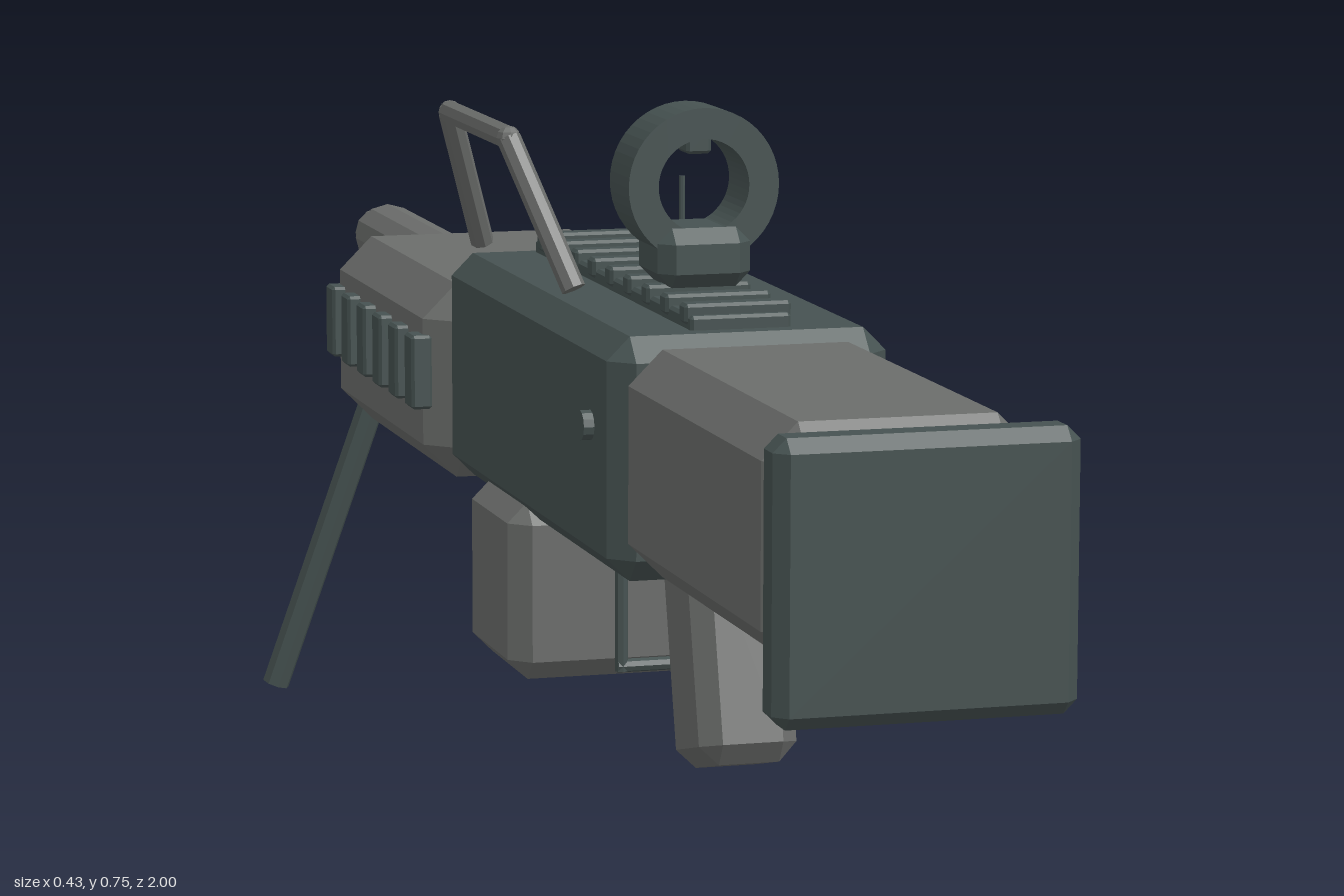
import * as THREE from 'three';
import { ConvexGeometry } from 'three/addons/geometries/ConvexGeometry.js';

const V = (x, y, z) => new THREE.Vector3(x, y, z);

// Box given by its limits, with every edge and corner cut at c
function bevelBox(x0, x1, y0, y1, z0, z1, c) {
  const pts = [];
  const h = [(x1 - x0) / 2, (y1 - y0) / 2, (z1 - z0) / 2];
  for (const sx of [-1, 1]) for (const sy of [-1, 1]) for (const sz of [-1, 1]) {
    for (let full = 0; full < 3; full++) {
      const s = [sx, sy, sz].map((v, i) => v * (h[i] - (i === full ? 0 : c)));
      pts.push(V(...s));
    }
  }
  return new ConvexGeometry(pts).translate((x0 + x1) / 2, (y0 + y1) / 2, (z0 + z1) / 2);
}

function faceted(geo) {
  const g = geo.index ? geo.toNonIndexed() : geo;
  g.computeVertexNormals();
  return g;
}

// Straight faceted rod between two points
function rod(a, b, r, sides = 8) {
  const d = b.clone().sub(a);
  const g = faceted(new THREE.CylinderGeometry(r, r, d.length(), sides));
  g.applyQuaternion(new THREE.Quaternion().setFromUnitVectors(V(0, 1, 0), d.normalize()));
  const m = a.clone().add(b).multiplyScalar(0.5);
  return g.translate(m.x, m.y, m.z);
}

export function createModel() {
  const root = new THREE.Group();
  const grey = new THREE.MeshStandardMaterial({ color: 0x6b6d6b });
  grey.name = 'mid grey';
  const dark = new THREE.MeshStandardMaterial({ color: 0x465251 });
  dark.name = 'dark green grey';

  const add = (name, geo, mat, parent = root) => {
    const m = new THREE.Mesh(geo, mat);
    m.name = name;
    parent.add(m);
    return m;
  };
  const group = (name) => {
    const g = new THREE.Group();
    g.name = name;
    root.add(g);
    return g;
  };

  // Main body
  add('buttPlate', bevelBox(-0.134, 0.134, 0.302, 0.547, 0.952, 1, 0.012), dark);
  add('stock', bevelBox(-0.12, 0.12, 0.338, 0.547, 0.47, 0.943, 0.032), grey);
  add('receiver', bevelBox(-0.133, 0.133, 0.33, 0.556, -0.13, 0.497, 0.022), dark);
  add('handguard', bevelBox(-0.146, 0.146, 0.315, 0.515, -0.595, -0.145, 0.035), grey);
  add('magazine', bevelBox(-0.14, 0.14, 0.17, 0.345, -0.02, 0.16, 0.02), grey);

  // Handguard side ribs
  const ribs = group('handguardRibs');
  for (const s of [-1, 1]) for (let i = 0; i < 6; i++) {
    const z = -0.187 - i * 0.073;
    const x = s * 0.149;
    add('rib', bevelBox(x - 0.011, x + 0.011, 0.388, 0.464, z - 0.017, z + 0.017, 0.003), dark, ribs);
  }

  // Receiver pins
  for (const s of [-1, 1]) {
    add('receiverPin', rod(V(s * 0.12, 0.467, 0.42), V(s * 0.143, 0.467, 0.42), 0.014, 12), dark);
  }

  // Barrel with a hollow muzzle
  const profile = [[0.038, 0.57], [0.038, 0.955], [0.033, 0.967], [0.028, 0.967],
    [0.028, 1], [0.015, 1], [0.015, 0.95], [0, 0.95]].map(([r, y]) => new THREE.Vector2(r, y));
  const barrel = faceted(new THREE.LatheGeometry(profile, 12));
  add('barrel', barrel.rotateX(-Math.PI / 2).translate(0, 0.46, 0), grey);

  // Slanted grip
  const grip = add('grip', bevelBox(-0.047, 0.047, -0.12, 0.1, -0.057, 0.057, 0.018), grey);
  grip.position.set(0, 0.262, 0.42);
  grip.rotation.x = -0.25;

  // Trigger guard
  const guard = group('triggerGuard');
  add('guardUpright', rod(V(-0.076, 0.34, 0.322), V(-0.076, 0.213, 0.322), 0.0065), dark, guard);
  add('guardBar', rod(V(-0.08, 0.218, 0.322), V(0.076, 0.218, 0.322), 0.0065), dark, guard);

  // Top rail with cross slats
  const rail = group('topRail');
  add('railBase', bevelBox(-0.048, 0.048, 0.55, 0.569, -0.1, 0.457, 0.003), dark, rail);
  for (let i = 0; i < 9; i++) {
    const z = 0.437 - i * 0.0637;
    add('slat', bevelBox(-0.051, 0.051, 0.56, 0.579, z - 0.011, z + 0.011, 0.003), dark, rail);
  }

  // Ring sight
  const sight = group('ringSight');
  add('sightBase', bevelBox(-0.045, 0.045, 0.578, 0.634, 0.258, 0.35, 0.014), dark, sight);
  const ring = new THREE.Shape().absarc(0, 0, 0.073, 0, Math.PI * 2);
  ring.holes.push(new THREE.Path().absarc(0, 0, 0.044, 0, Math.PI * 2, true));
  const ringGeo = new THREE.ExtrudeGeometry(ring, { depth: 0.066, bevelEnabled: false, curveSegments: 24 });
  add('sightRing', ringGeo.translate(0, 0.673, 0.27), dark, sight);
  add('sightPost', rod(V(0, 0.62, 0.262), V(0, 0.674, 0.262), 0.003), dark, sight);
  add('sightBlock', bevelBox(-0.012, 0.012, 0.701, 0.725, 0.285, 0.32, 0.003), dark, sight);

  // Side carry handle
  const handle = group('carryHandle');
  const path = [V(-0.128, 0.582, -0.002), V(-0.175, 0.718, 0.058), V(-0.175, 0.718, 0.285), V(-0.128, 0.582, 0.343)];
  for (let i = 0; i < 3; i++) add('handleBar', rod(path[i], path[i + 1], 0.0115), grey, handle);
  for (const p of path.slice(1, 3)) {
    add('handleJoint', faceted(new THREE.SphereGeometry(0.0115, 8, 6)).translate(p.x, p.y, p.z), grey, handle);
  }

  // Bipod
  for (const s of [-1, 1]) {
    add('bipodLeg', rod(V(s * 0.083, 0.373, -0.607), V(s * 0.201, 0.005, -0.657), 0.015), dark);
  }

  return root;
}
